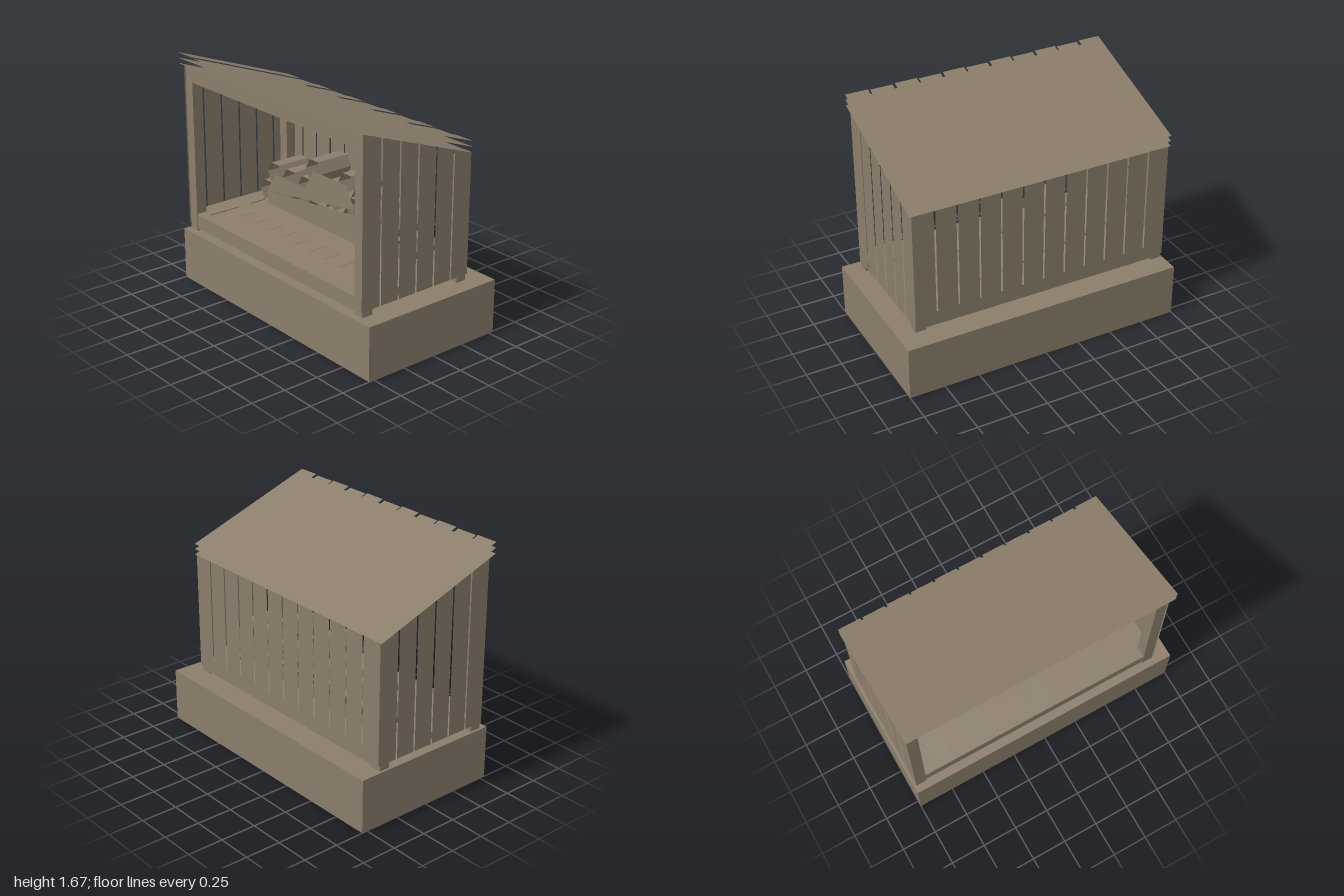
import * as THREE from 'three';

export function createModel() {
  const model = new THREE.Group();
  const wood = new THREE.MeshStandardMaterial({ color: 0x8b7d6b, flatShading: true, side: THREE.DoubleSide });
  wood.name = 'weathered wood';

  const add = (name, geometry, parent = model) => {
    const mesh = new THREE.Mesh(geometry, wood);
    mesh.name = name;
    parent.add(mesh);
    return mesh;
  };
  const group = (name) => {
    const g = new THREE.Group();
    g.name = name;
    model.add(g);
    return g;
  };
  // Box given by its limits on each axis
  const box = (name, x0, x1, y0, y1, z0, z1, parent) =>
    add(name, new THREE.BoxGeometry(x1 - x0, y1 - y0, z1 - z0), parent)
      .position.set((x0 + x1) / 2, (y0 + y1) / 2, (z0 + z1) / 2);
  // Thin board from four corners, counter-clockwise seen from its front
  const board = (name, a, b, c, d, parent) => {
    const g = new THREE.BufferGeometry();
    g.setAttribute('position', new THREE.Float32BufferAttribute([...a, ...b, ...c, ...a, ...c, ...d], 3));
    g.computeVertexNormals();
    return add(name, g, parent);
  };

  const L = -0.985, R = 0.88, BACK = -0.4, FRONT = 0.5;

  box('base', -1, 1, 0, 0.375, -0.54, 0.54);

  // Corner posts and front beams
  const frame = group('frame');
  for (const [x0, x1] of [[L + 0.002, -0.905], [0.8, R - 0.002]]) {
    box('frontPost', x0, x1, 0.375, 1.47, 0.41, 0.49, frame);
    box('backPost', x0, x1, 0.375, 1.24, -0.385, -0.31, frame);
  }
  box('topBeam', L + 0.002, R - 0.002, 1.46, 1.562, 0.47, 0.487, frame);
  for (const z of [0.45, 0.1, -0.35]) {
    box('floorJoist', -0.905, 0.8, 0.39, 0.492, z - 0.035, z + 0.035, frame);
  }

  // Back wall and floor boards
  const backWall = group('backWall');
  const floor = group('floor');
  const pitch = (R - L) / 12;
  for (let i = 0; i < 12; i++) {
    const x0 = L + i * pitch + (i ? 0.006 : 0), x1 = L + (i + 1) * pitch - (i < 11 ? 0.006 : 0);
    board('backPlank', [x1, 0.415, BACK], [x0, 0.415, BACK], [x0, 1.253, BACK], [x1, 1.253, BACK], backWall);
    board('floorPlank', [x0, 0.5, 0.488], [x1, 0.5, 0.488], [x1, 0.5, BACK], [x0, 0.5, BACK], floor);
  }

  // Side walls, cut along the slope of the roof
  const wallTop = (z) => 1.253 + (z - BACK) * (1.57 - 1.253) / (FRONT - BACK);
  const step = (FRONT - BACK) / 6;
  for (const [name, x] of [['rightWall', L], ['leftWall', R]]) {
    const wall = group(name);
    for (let i = 0; i < 6; i++) {
      const z0 = BACK + i * step + (i ? 0.006 : 0), z1 = BACK + (i + 1) * step - (i < 5 ? 0.006 : 0);
      const p = [[x, 0.415, z1], [x, 0.415, z0], [x, wallTop(z0), z0], [x, wallTop(z1), z1]];
      if (x < 0) p.reverse();
      board('sidePlank', ...p, wall);
    }
  }

  // Roof: two full sheets below a layer of planks
  const roof = group('roof');
  const roofBoard = (name, x0, x1, lift) => board(name,
    [x0, 1.59 + lift, 0.54], [x1, 1.59 + lift, 0.54],
    [x1, 1.255 + lift, -0.405], [x0, 1.255 + lift, -0.405], roof);
  roofBoard('lowerSheet', -1, 0.893, 0);
  roofBoard('upperSheet', -1, 0.893, 0.038);
  for (let i = 0; i < 11; i++) {
    const x = -1 + i * 0.1735;
    roofBoard('roofPlank', x, x + 0.158, i % 2 ? 0.07 : 0.076);
  }

  // Stacked six-sided logs lying front to back
  const logs = group('logPile');
  const logGeometry = new THREE.CylinderGeometry(0.0865, 0.0865, 0.26, 6, 1, true);
  logGeometry.rotateY(Math.PI / 6).rotateX(Math.PI / 2);
  const rows = [[-0.745, 0.6, 9], [-0.66, 0.75, 8], [-0.225, 0.9, 3]];
  rows.forEach(([x, y, count], row) => {
    for (let i = 0; i < count; i++) {
      if (row === 2 && i === 1) continue;
      add('log', logGeometry, logs).position.set(x + i * 0.173, y, -0.145);
    }
  });

  // Flat faces across the front of the pile
  const face = (points) => {
    const shape = new THREE.Shape(points.map(([x, y]) => new THREE.Vector2(x, y)));
    add('pileFace', new THREE.ShapeGeometry(shape), logs).position.z = -0.01;
  };
  face([[-0.745, 0.51], [0.64, 0.51], [0.64, 0.6], [0.55, 0.75], [-0.745, 0.6]]);
  face([[-0.745, 0.6], [0.205, 0.75], [0.125, 0.9], [-0.225, 0.9], [-0.315, 0.75], [-0.66, 0.75]]);

  return model;
}
